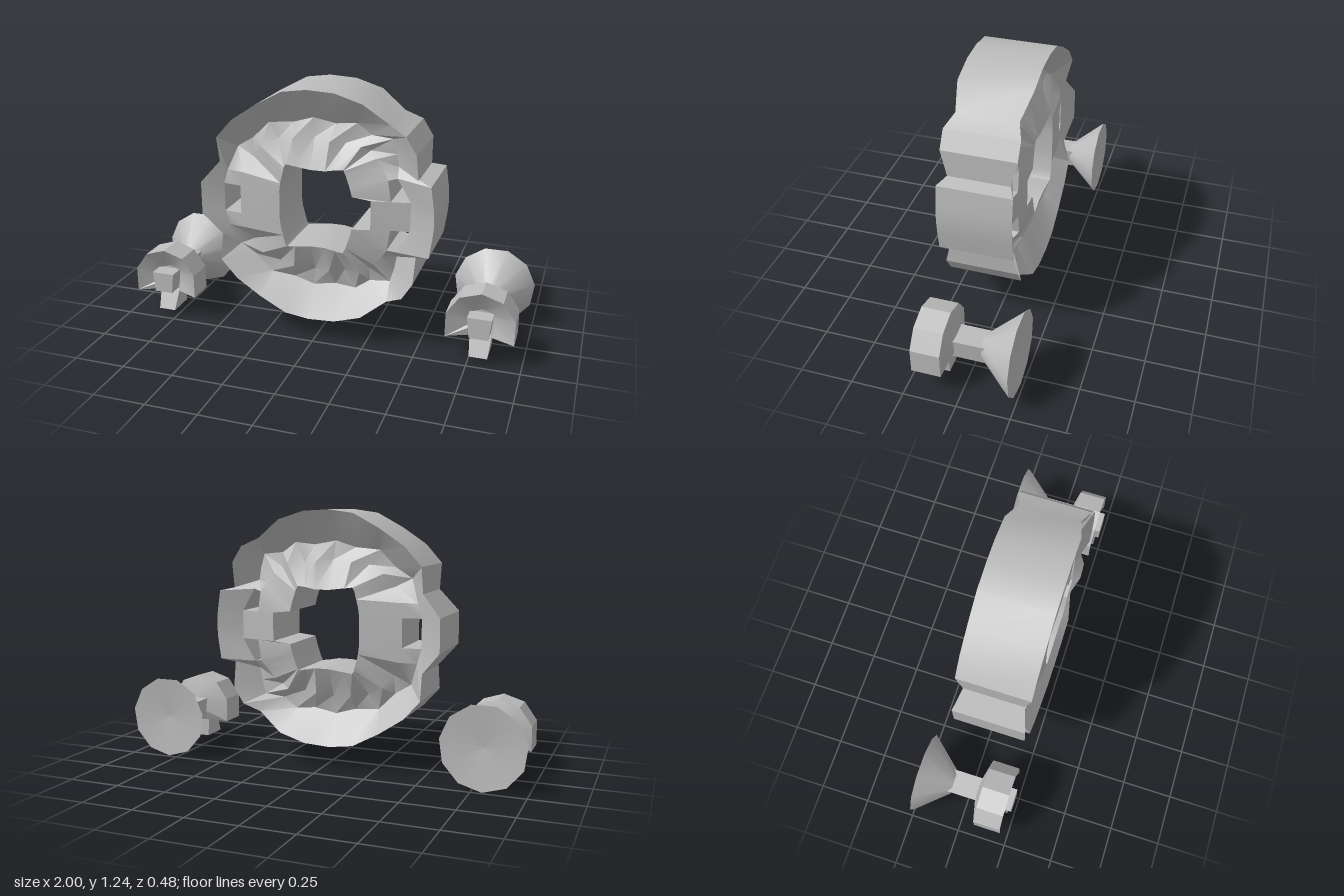
import * as THREE from 'three';
import { toCreasedNormals } from 'three/addons/utils/BufferGeometryUtils.js';

const steel = new THREE.MeshStandardMaterial({ color: 0xbcbcbc });
steel.name = 'grey';

function namedMesh(name, geo) {
  const mesh = new THREE.Mesh(geo, steel);
  mesh.name = name;
  return mesh;
}

// Mesh from a list of four-cornered faces, smooth only across shallow edges
function facetMesh(name, quads) {
  const pos = [];
  for (const [a, b, c, d] of quads) pos.push(...a, ...b, ...c, ...a, ...c, ...d);
  const geo = new THREE.BufferGeometry();
  geo.setAttribute('position', new THREE.Float32BufferAttribute(pos, 3));
  return namedMesh(name, toCreasedNormals(geo, 0.4));
}

// Skin through loops of points, from the back loop to the front loop
function skin(name, loops) {
  const quads = [];
  for (let k = 0; k < loops.length - 1; k++) {
    const a = loops[k], b = loops[k + 1], n = a.length;
    for (let i = 0; i < n; i++) {
      const j = (i + 1) % n;
      quads.push([a[i], a[j], b[j], b[i]]);
    }
  }
  return facetMesh(name, quads);
}

// Upper half of the ring, right to left: outer edge, groove, hub foot, bore (x, y each)
const HALF = [
  [0.57, 0, 0.45, 0, 0.36, 0, 0.27, 0],
  [0.565, 0.07, 0.45, 0.07, 0.36, 0.07, 0.27, 0.07],
  [0.55, 0.17, 0.385, 0.18, 0.345, 0.17, 0.18, 0.08],
  [0.485, 0.185, 0.38, 0.22, 0.32, 0.21, 0.17, 0.12],
  [0.48, 0.31, 0.37, 0.28, 0.28, 0.26, 0.15, 0.18],
  [0.43, 0.39, 0.35, 0.35, 0.25, 0.29, 0.14, 0.2],
  [0.35, 0.43, 0.25, 0.36, 0.21, 0.31, 0.14, 0.205],
  [0.23, 0.52, 0.18, 0.41, 0.13, 0.315, 0.10, 0.2],
  [0.10, 0.56, 0.08, 0.40, 0.06, 0.32, 0.05, 0.19],
  [-0.03, 0.567, -0.03, 0.42, -0.02, 0.33, -0.02, 0.19],
  [-0.15, 0.55, -0.13, 0.39, -0.12, 0.32, -0.10, 0.2],
  [-0.28, 0.48, -0.25, 0.38, -0.2, 0.31, -0.14, 0.205],
  [-0.40, 0.40, -0.33, 0.30, -0.28, 0.27, -0.15, 0.19],
  [-0.48, 0.31, -0.41, 0.25, -0.33, 0.21, -0.16, 0.15],
  [-0.48, 0.185, -0.45, 0.14, -0.37, 0.14, -0.17, 0.11],
  [-0.57, 0.08, -0.47, 0.07, -0.38, 0.07, -0.175, 0.07],
];

function makeRing() {
  const last = HALF.length - 1, midY = 0.668, midZ = 0.045;
  // Half thickness at the outer edge, groove, hub foot and bore of a column
  const thickness = (i) => {
    const side = i < 3 || i > last - 2;
    const notch = i === 3 || i === 6 || i === last - 1;
    const foot = side ? 0.14 : i === 3 ? 0.125 : i % 2 ? 0.09 : 0.12;
    return [notch ? 0.145 : 0.175, side ? 0.125 : 0.08, foot, 0.157];
  };
  const column = (i, sign) => [0, 1, 2, 3].map((r) => ({
    x: HALF[i][r * 2], y: midY + sign * HALF[i][r * 2 + 1], h: thickness(i)[r],
  }));
  const cols = HALF.map((_, i) => column(i, 1));
  for (let i = last; i > 0; i--) cols.push(column(i, -1));

  const n = cols.length;
  const windows = new Set([1, last, n - 2]);
  const front = (p) => [p.x, p.y, midZ + p.h];
  const back = (p) => [p.x, p.y, midZ - p.h];
  const quads = [];
  // Wall facing right of the direction p to q
  const wall = (p, q) => quads.push([front(p), back(p), back(q), front(q)]);

  for (let i = 0; i < n; i++) {
    const a = cols[i], b = cols[(i + 1) % n];
    wall(a[0], b[0]);
    wall(b[3], a[3]);
    for (let r = 0; r < 3; r++) {
      const corners = [a[r], b[r], b[r + 1], a[r + 1]];
      if (r === 1 && windows.has(i)) {
        // Through window between the side tab and the hub
        corners.reverse();
        corners.forEach((p, k) => wall(p, corners[(k + 1) % 4]));
      } else {
        quads.push(corners.map(front), corners.map(back).reverse());
      }
    }
  }
  return facetMesh('groovedRing', quads);
}

// Box between two heights; each end has a half width, back z and front z
function taperedBox(name, yLow, low, yHigh, high) {
  const geo = new THREE.BoxGeometry(1, 1, 1).toNonIndexed();
  const p = geo.attributes.position;
  for (let i = 0; i < p.count; i++) {
    const isLow = p.getY(i) < 0;
    const [half, zBack, zFront] = isLow ? low : high;
    p.setXYZ(i, Math.sign(p.getX(i)) * half, isLow ? yLow : yHigh, p.getZ(i) > 0 ? zFront : zBack);
  }
  geo.computeVertexNormals();
  return namedMesh(name, geo);
}

function makeStud(name, x) {
  const stud = new THREE.Group();
  stud.name = name;

  // Flared cone at the back with a shallow dished face
  const flare = new THREE.CylinderGeometry(0.2, 0.055, 0.165, 11, 1, true, Math.PI);
  stud.add(namedMesh('flaredBase', flare.rotateX(-Math.PI / 2).translate(0, 0, -0.155)));
  const dish = new THREE.CylinderGeometry(0, 0.2, 0.02, 11, 1, true, Math.PI);
  // The dish is turned so that its hollow side faces the back
  dish.rotateX(-Math.PI / 2).scale(1, 1, -1).translate(0, 0, -0.2275);
  stud.add(namedMesh('dishedFace', dish));

  // Square stem
  stud.add(taperedBox('stem', -0.06, [0.045, -0.09, 0.07], 0.042, [0.057, -0.09, 0.07]));

  // Arched cap with a shallow recessed front
  const arch = [[0.16, -0.08], [0.16, 0.04], [0.1, 0.125], [0, 0.157], [-0.1, 0.125],
    [-0.16, 0.04], [-0.16, -0.08], [-0.055, -0.08], [0.055, -0.08]];
  const loop = (s, z, zLow = z) => arch.map(([px, py], i) => [px * s, py * s, i > 6 ? zLow : z]);
  stud.add(skin('archedCap', [
    loop(0, 0.05), loop(0.4, 0.055), loop(1, 0.08), loop(1, 0.217, 0.17),
    loop(0.35, 0.16), loop(0, 0.16),
  ]));

  // Square peg in the recess
  stud.add(taperedBox('peg', -0.06, [0.045, 0.1, 0.24], 0.042, [0.057, 0.1, 0.24]));

  // Foot that leans forward and narrows downward
  stud.add(taperedBox('foot', -0.168, [0.043, 0.083, 0.217], -0.06, [0.052, 0.083, 0.165]));

  stud.position.set(x, 0.2, 0);
  return stud;
}

export function createModel() {
  const model = new THREE.Group();
  model.name = 'ringWithStuds';
  model.add(makeRing(), makeStud('leftStud', 0.8), makeStud('rightStud', -0.8));
  return model;
}
